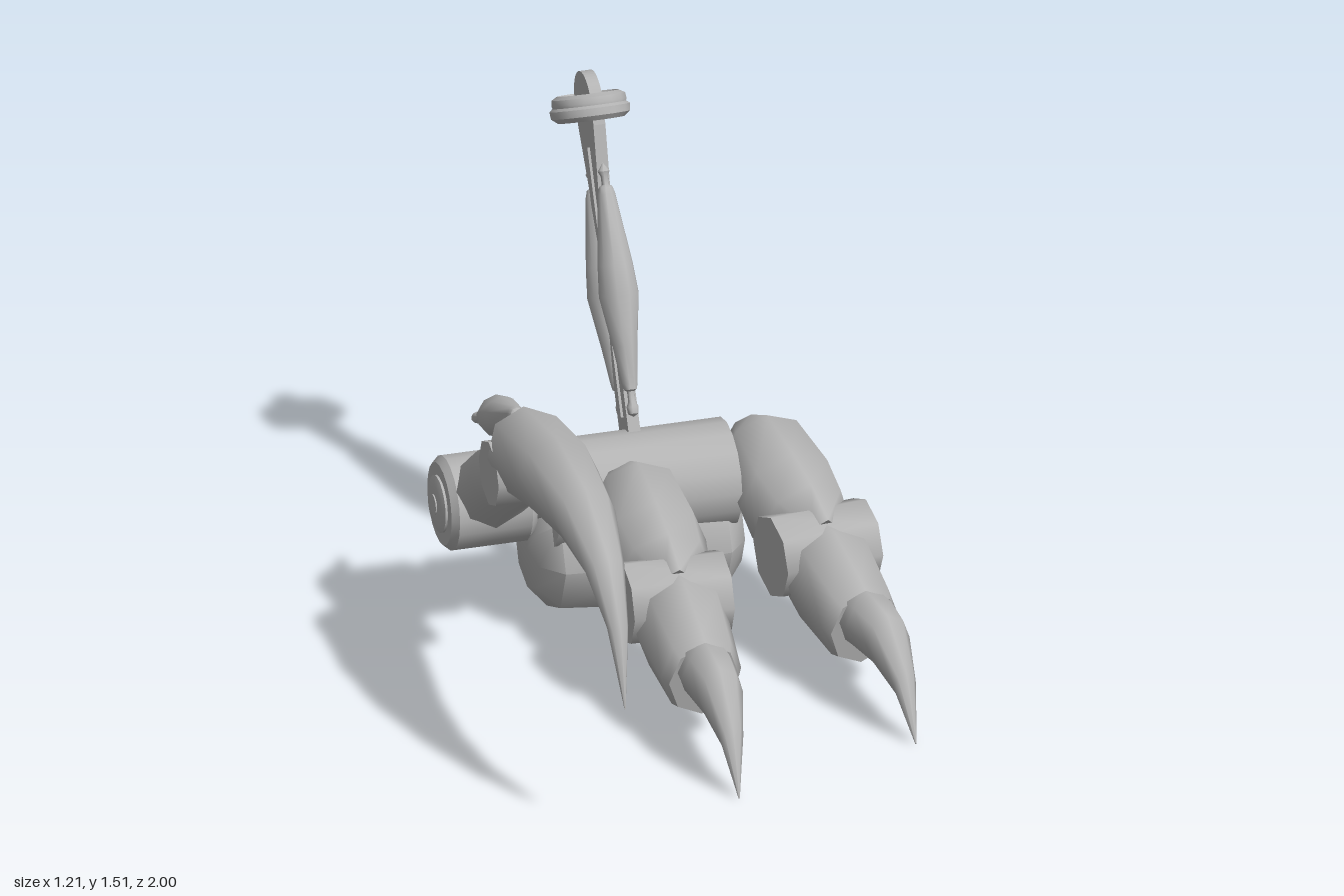
import * as THREE from 'three';
import { toCreasedNormals } from 'three/addons/utils/BufferGeometryUtils.js';

const grey = new THREE.MeshStandardMaterial({ color: 0xb4b4b4 });
grey.name = 'plain grey';

function add(parent, name, geometry, x = 0, y = 0, z = 0) {
  const mesh = new THREE.Mesh(geometry, grey);
  mesh.name = name;
  mesh.position.set(x, y, z);
  parent.add(mesh);
  return mesh;
}

function group(parent, name) {
  const g = new THREE.Group();
  g.name = name;
  parent.add(g);
  return g;
}

// Skin over oval sections, each [topZ, topY, bottomZ, bottomY, halfWidth], running forwards
function loft(rings, sides = 8) {
  const pos = [], index = [];
  const ringAt = ([tz, ty, bz, by, w]) => {
    for (let j = 0; j < sides; j++) {
      const a = (j / sides) * Math.PI * 2, c = Math.cos(a) / 2;
      pos.push(Math.sin(a) * w, (ty + by) / 2 + c * (ty - by), (tz + bz) / 2 + c * (tz - bz));
    }
  };
  rings.forEach(ringAt);
  for (let i = 0; i < rings.length - 1; i++) {
    for (let j = 0; j < sides; j++) {
      const a = i * sides + j, b = i * sides + ((j + 1) % sides);
      index.push(a, a + sides, b, b, a + sides, b + sides);
    }
  }
  // End caps with their own corners
  [rings[0], rings[rings.length - 1]].forEach((r, end) => {
    const s = pos.length / 3;
    ringAt(r);
    for (let j = 1; j < sides - 1; j++) {
      index.push(s, end ? s + j + 1 : s + j, end ? s + j : s + j + 1);
    }
  });
  const g = new THREE.BufferGeometry();
  g.setAttribute('position', new THREE.Float32BufferAttribute(pos, 3));
  g.setIndex(index);
  g.computeVertexNormals();
  return g;
}

// Turned profile of [radius, height] pairs
function lathe(points, sides, crease = 0.6) {
  const g = new THREE.LatheGeometry(points.map(p => new THREE.Vector2(...p)), sides);
  return toCreasedNormals(g, crease);
}

// Turned profile lying along x
const latheX = (points, sides, crease) => lathe(points, sides, crease).rotateZ(-Math.PI / 2);

const cylinderX = (r, length, sides, crease = 0.9) =>
  toCreasedNormals(new THREE.CylinderGeometry(r, r, length, sides), crease).rotateZ(-Math.PI / 2);

// Spindle-shaped tendon with thin knobbed ends, between two points
function spindle(parent, name, from, to, r) {
  const a = new THREE.Vector3(...from), b = new THREE.Vector3(...to);
  const d = b.clone().sub(a), L = d.length();
  const profile = [
    [0, 0], [0.016, 0.01], [0.018, 0.03], [0.011, 0.045], [0.011, 0.075], [0.02, 0.08], [0.024, 0.1],
    [r * 0.62, L * 0.28], [r, L * 0.48], [r * 0.88, L * 0.6], [0.026, L - 0.09],
    [0.02, L - 0.07], [0.011, L - 0.065], [0.011, L - 0.04], [0.018, L - 0.025], [0, L],
  ];
  const mesh = add(parent, name, lathe(profile, 10, 0.8), ...from);
  mesh.quaternion.setFromUnitVectors(new THREE.Vector3(0, 1, 0), d.normalize());
}

function toe(parent, name, x, z, turn) {
  const g = group(parent, name);
  g.position.set(x, 0, z);
  g.rotation.y = turn;
  add(g, 'toeBase', loft([
    [-0.35, 0.53, -0.37, 0.41, 0.07],
    [-0.235, 0.58, -0.28, 0.32, 0.135],
    [-0.05, 0.54, -0.1, 0.23, 0.157],
    [0.08, 0.5, -0.02, 0.2, 0.14],
    [0.2, 0.44, 0.02, 0.22, 0.05],
  ]));
  add(g, 'toeKnuckle', cylinderX(0.125, 0.3, 8), 0, 0.32, 0.13);
  add(g, 'toeEnd', loft([
    [0.12, 0.42, 0.1, 0.15, 0.13],
    [0.25, 0.42, 0.22, 0.115, 0.14],
    [0.44, 0.35, 0.41, 0.085, 0.12],
    [0.48, 0.33, 0.435, 0.09, 0.105],
  ]));
  add(g, 'toeClaw', loft([
    [0.44, 0.335, 0.42, 0.15, 0.08],
    [0.52, 0.335, 0.5, 0.165, 0.083],
    [0.625, 0.325, 0.63, 0.165, 0.068],
    [0.76, 0.2, 0.735, 0.12, 0.035],
    [0.83, 0.008, 0.825, 0.003, 0.002],
  ]));
}

function sickleToe(parent) {
  const g = group(parent, 'sickleToe');
  g.position.x = -0.45;
  // Hip drum with end discs
  const half = [[0.14, 0], [0.14, 0.11], [0.122, 0.13], [0.085, 0.13], [0.085, 0.137], [0.065, 0.146], [0.03, 0.146], [0.03, 0.15], [0, 0.15]];
  const drum = [...half.slice(1).reverse().map(([r, h]) => [r, -h]), ...half];
  add(g, 'hipDrum', latheX(drum, 20), 0, 0.43, -0.43);
  add(g, 'hipAxle', cylinderX(0.08, 0.16, 16), 0.2, 0.43, -0.43);
  add(g, 'sickleShank', loft([
    [-0.46, 0.55, -0.33, 0.37, 0.11],
    [-0.25, 0.71, -0.12, 0.53, 0.115],
    [-0.06, 0.84, 0.08, 0.655, 0.11],
  ]));
  add(g, 'sickleKnuckle', cylinderX(0.1, 0.24, 8), 0, 0.745, 0.03);
  add(g, 'sickleClaw', loft([
    [-0.02, 0.92, 0.115, 0.685, 0.13],
    [0.31, 0.975, 0.33, 0.74, 0.122],
    [0.6, 0.95, 0.575, 0.77, 0.094],
    [0.83, 0.835, 0.75, 0.74, 0.06],
    [0.955, 0.66, 0.89, 0.66, 0.032],
    [1.0, 0.43, 0.995, 0.43, 0.002],
  ]));
  spindle(g, 'sickleTendon', [0, 0.655, -0.5], [0, 0.895, -0.02], 0.063);
}

function ankle(parent) {
  // Turned so local x points backwards, then leaned back
  const turn = group(parent, 'ankle');
  turn.position.set(0.01, 0.5, -0.46);
  turn.rotation.y = Math.PI / 2;
  const g = group(turn, 'ankleLean');
  g.rotation.z = -0.4435;
  // Slotted bar with a rounded head
  const bar = new THREE.Shape();
  bar.moveTo(-0.05, -0.02);
  bar.lineTo(0.05, -0.02);
  bar.lineTo(0.05, 0.76);
  bar.lineTo(0.085, 0.95);
  bar.absarc(0, 1.02, 0.088, 0, Math.PI, false);
  bar.lineTo(-0.085, 0.95);
  bar.lineTo(-0.05, 0.76);
  bar.closePath();
  const slot = new THREE.Path();
  slot.moveTo(-0.014, 0.1);
  slot.lineTo(-0.014, 0.885);
  slot.lineTo(0.014, 0.885);
  slot.lineTo(0.014, 0.1);
  slot.closePath();
  bar.holes.push(slot);
  const barGeometry = new THREE.ExtrudeGeometry(bar, { depth: 0.036, bevelEnabled: false, curveSegments: 12 });
  add(g, 'ankleBar', barGeometry, 0, 0, -0.018);
  // Socket ring, hollow underneath
  add(g, 'ankleRing', lathe([
    [0, 0.01], [0.078, 0.01], [0.078, -0.03], [0.098, -0.036], [0.116, -0.022], [0.118, 0],
    [0.108, 0.008], [0.11, 0.016], [0.108, 0.032], [0.09, 0.042], [0.08, 0.03], [0, 0.03],
  ], 16), 0, 1.0, 0);
  spindle(g, 'frontTendon', [-0.062, 0.1, 0], [-0.068, 0.84, 0], 0.06);
  spindle(g, 'rearTendon', [0.06, 0.1, 0], [0.073, 0.83, 0], 0.06);
}

export function createModel() {
  const model = new THREE.Group();
  model.name = 'clawedFoot';
  // Heel pad and main barrel
  add(model, 'heelPad', latheX([
    [0, -0.31], [0.12, -0.31], [0.19, -0.25], [0.215, 0], [0.19, 0.25], [0.12, 0.31], [0, 0.31],
  ], 8, 0.85), 0, 0.235, -0.45);
  add(model, 'footBarrel', cylinderX(0.158, 0.55, 16), 0.005, 0.42, -0.415);
  toe(model, 'middleToe', -0.043, 0, -0.015);
  toe(model, 'outerToe', 0.432, -0.185, 0.124);
  sickleToe(model);
  ankle(model);
  return model;
}
